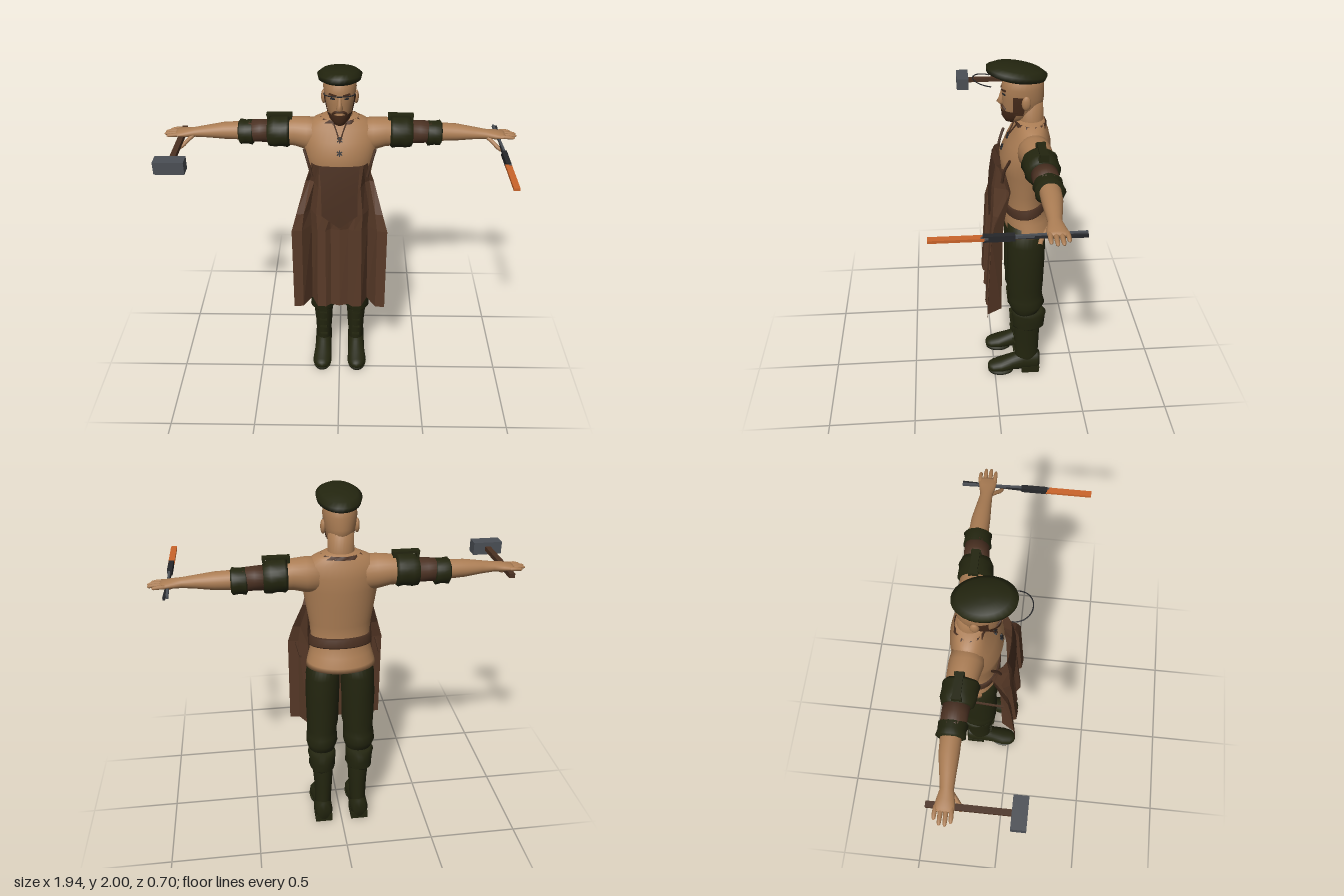
import * as THREE from 'three';

const mat = (name, color, side = THREE.FrontSide, flatShading = false) => {
  const m = new THREE.MeshStandardMaterial({ color, side, flatShading });
  m.name = name;
  return m;
};
const skin = mat('skin', 0xab7d54);
const olive = mat('dark olive cloth', 0x23250f, THREE.DoubleSide);
const leather = mat('apron leather', 0x573927, THREE.DoubleSide, true);
const brown = mat('dark leather', 0x4b3122, THREE.DoubleSide);
const hair = mat('hair', 0x482c1b, THREE.DoubleSide);
const steel = mat('steel', 0x4b4f55);
const iron = mat('dark iron', 0x26272a);
const hot = mat('hot metal', 0xcb652b);

function add(parent, name, geometry, material, pos = [0, 0, 0], rot = [0, 0, 0]) {
  const m = new THREE.Mesh(geometry, material);
  m.name = name;
  m.position.set(...pos);
  m.rotation.set(...rot);
  parent.add(m);
  return m;
}
const box = (x, y, z) => new THREE.BoxGeometry(x, y, z);
const tube = (pts, r, n = 8) => new THREE.TubeGeometry(
  new THREE.CatmullRomCurve3(pts.map(p => new THREE.Vector3(...p))), 12, r, n);

// Skin over elliptical sections [t, centreA, centreB, radiusA, radiusB] along axis y, x or z.
// (A,B) is (x,z) for y, (y,z) for x, (x,y) for z. t must rise from section to section.
function loft(sections, { axis = 'y', n = 28, from = 0, to = Math.PI * 2, wave = 0, k = 7, cap = true } = {}) {
  const full = to - from > 6.28, cols = full ? n : n + 1, pos = [], idx = [];
  const put = (X, Y, Z) => axis === 'y' ? pos.push(X, Y, Z) : axis === 'x' ? pos.push(Y, Z, X) : pos.push(Z, X, Y);
  sections.forEach(([t, a, b, ra, rb], i) => {
    const [cX, cZ, rX, rZ] = axis === 'y' ? [a, b, ra, rb] : [b, a, rb, ra];
    for (let j = 0; j < cols; j++) {
      const th = from + (to - from) * j / n, w = 1 + wave * Math.sin(k * th + i * 1.9);
      put(cX + rX * w * Math.sin(th), t, cZ + rZ * w * Math.cos(th));
    }
    if (i === 0) return;
    for (let j = 0; j < n; j++) {
      const p = (i - 1) * cols + j, q = (i - 1) * cols + (j + 1) % cols;
      idx.push(p, q, q + cols, p, q + cols, p + cols);
    }
  });
  if (full && cap) [0, sections.length - 1].forEach((s, end) => {
    const [t, a, b] = sections[s], c = pos.length / 3;
    axis === 'y' ? put(a, t, b) : put(b, t, a);
    for (let j = 0; j < n; j++) {
      const p = s * cols + j, q = s * cols + (j + 1) % cols;
      end ? idx.push(p, q, c) : idx.push(q, p, c);
    }
  });
  const g = new THREE.BufferGeometry();
  g.setAttribute('position', new THREE.Float32BufferAttribute(pos, 3));
  g.setIndex(idx);
  g.computeVertexNormals();
  return g;
}

// Mirrored sheet from rows of half sections {y, p: [[x, z], ...]}
function sheet(rows) {
  const pos = [], idx = [], w = rows[0].p.length * 2 - 1;
  rows.forEach(({ y, p }, i) => {
    const line = [...p.slice(1).reverse().map(([x, z]) => [-x, z]), ...p];
    line.forEach(([x, z]) => pos.push(x, y, z));
    if (i) for (let j = 0; j < w - 1; j++) {
      const a = (i - 1) * w + j;
      idx.push(a, a + 1, a + w + 1, a, a + w + 1, a + w);
    }
  });
  const g = new THREE.BufferGeometry();
  g.setAttribute('position', new THREE.Float32BufferAttribute(pos, 3));
  g.setIndex(idx);
  g.computeVertexNormals();
  return g;
}

function buildHead(g) {
  add(g, 'neck', loft([[1.62, 0, -.195, .085, .075], [1.7, 0, -.195, .068, .068], [1.8, 0, -.185, .066, .07]]), skin);
  add(g, 'head', loft([[1.695, 0, -.115, .03, .045], [1.72, 0, -.125, .052, .075], [1.77, 0, -.15, .07, .104],
    [1.82, 0, -.15, .08, .109], [1.88, 0, -.149, .088, .109], [1.93, 0, -.152, .08, .098], [1.955, 0, -.155, .05, .06]]), skin);
  // Face
  add(g, 'nose', loft([[1.782, 0, -.045, .012, .012], [1.797, 0, -.04, .019, .025], [1.82, 0, -.043, .012, .016],
    [1.86, 0, -.05, .009, .012]], { n: 10 }), skin);
  add(g, 'beard', loft([[1.69, 0, -.11, .03, .048], [1.72, 0, -.12, .056, .077], [1.758, 0, -.145, .071, .106]],
    { from: -1.35, to: 1.35 }), hair);
  add(g, 'moustache', tube([[-.036, 1.76, -.06], [-.022, 1.774, -.047], [0, 1.779, -.043], [.022, 1.774, -.047], [.036, 1.76, -.06]], .007), hair);
  add(g, 'lips', box(.03, .008, .008), skin, [0, 1.764, -.041]);
  for (const s of [-1, 1]) {
    add(g, 'sideburn', loft([[1.74, 0, -.145, .067, .1], [1.77, 0, -.15, .074, .108], [1.82, 0, -.15, .084, .112], [1.845, 0, -.15, .086, .112]],
      { n: 6, from: s > 0 ? 1.05 : -1.6, to: s > 0 ? 1.6 : -1.05 }), hair);
    add(g, 'eyebrow', box(.04, .009, .008), hair, [s * .036, 1.869, -.049], [0, s * .35, s * .12]);
    add(g, 'eye', box(.024, .008, .006), iron, [s * .036, 1.848, -.05], [0, s * .35, 0]);
    const ear = add(g, 'ear', new THREE.SphereGeometry(1, 12, 8), skin, [s * .086, 1.815, -.16]);
    ear.scale.set(.014, .038, .024);
  }
  // Cap
  add(g, 'beret', loft([[-.032, 0, 0, .085, .115], [-.018, 0, 0, .11, .152], [.008, 0, 0, .116, .158],
    [.026, 0, 0, .092, .125], [.037, 0, 0, .045, .06]]), olive, [0, 1.953, -.117], [-.16, 0, 0]);
  add(g, 'wireVisor', new THREE.TorusGeometry(.078, .003, 5, 28, Math.PI * 1.1), iron, [0, 1.91, .028], [Math.PI / 2 - .2, 0, -.15]);
}

function buildTorso(g) {
  add(g, 'shirt', loft([[1.055, 0, -.2, .19, .135], [1.08, 0, -.195, .184, .134], [1.13, 0, -.185, .17, .125], [1.2, 0, -.172, .156, .105],
    [1.3, 0, -.17, .165, .112], [1.42, 0, -.168, .185, .127], [1.5, 0, -.165, .198, .133], [1.58, 0, -.185, .21, .117],
    [1.64, 0, -.193, .195, .094], [1.675, 0, -.195, .14, .077], [1.7, 0, -.195, .075, .07]], { n: 36 }), skin);
  add(g, 'belt', loft([[-.028, 0, 0, .168, .115], [-.02, 0, 0, .173, .121], [.02, 0, 0, .168, .119], [.028, 0, 0, .16, .112]]),
    brown, [0, 1.195, -.173], [.13, 0, 0]);
  add(g, 'collarTrim', loft([[1.672, 0, -.195, .125, .082], [1.682, 0, -.195, .115, .079], [1.69, 0, -.195, .1, .076]], { wave: .04, k: 16, cap: false }), brown);
  // Neck slit with lacing
  for (const s of [-1, 1]) add(g, 'neckSlit', tube([[s * .035, 1.682, -.118], [s * .018, 1.64, -.096], [0, 1.59, -.066]], .004, 5), brown);
  for (const y of [1.6, 1.535]) for (const a of [.6, -.6, Math.PI / 2])
    add(g, 'lace', box(.034, .006, .008), iron, [0, y, y > 1.57 ? -.074 : -.044], [-.35, 0, a]);
}

function buildApron(g) {
  add(g, 'apron', sheet([
    { y: .55, p: [[0, .045], [.05, .03], [.08, .055], [.13, .05], [.165, -.035], [.215, .05], [.27, .057]] },
    { y: 1.08, p: [[0, .015], [.05, .003], [.08, .025], [.125, .02], [.16, -.04], [.212, .025], [.27, .032]] },
    { y: 1.18, p: [[0, .02], [.05, .018], [.09, .02], [.13, .012], [.165, -.05], [.2, .005], [.242, .012]] },
    { y: 1.35, p: [[0, .022], [.04, .02], [.08, .016], [.115, .005], [.14, -.06], [.165, -.08], [.19, -.07]] },
    { y: 1.48, p: [[0, .004], [.04, .003], [.08, 0], [.11, -.008], [.13, -.018], [.142, -.03], [.152, -.045]] }]), leather);
  add(g, 'bibPanel', sheet([
    { y: 1.1, p: [[0, .026], [.005, .026]] }, { y: 1.18, p: [[0, .027], [.1, .025]] },
    { y: 1.35, p: [[0, .028], [.1, .018]] }, { y: 1.482, p: [[0, .01], [.11, -.002]] }]), brown);
  for (const s of [-1, 1]) {
    add(g, 'apronStrap', tube([[s * .15, 1.4, -.035], [s * .17, 1.48, -.045], [s * .192, 1.55, -.07]], .008, 5), brown);
    add(g, 'apronTie', box(.01, .012, .16), brown, [s * .222, 1.09, -.095], [0, s * .06, 0]);
  }
}

function buildArm(g) {
  add(g, 'arm', loft([[.08, 1.575, -.195, .09, .08], [.18, 1.58, -.2, .092, .088], [.25, 1.588, -.208, .08, .08], [.32, 1.585, -.212, .073, .075],
    [.42, 1.582, -.22, .058, .06], [.56, 1.58, -.226, .05, .052], [.64, 1.58, -.224, .046, .05], [.73, 1.578, -.218, .034, .04],
    [.8, 1.575, -.213, .026, .033], [.85, 1.573, -.213, .022, .044], [.89, 1.572, -.215, .016, .05], [.905, 1.572, -.215, .01, .045]], { axis: 'x' }), skin);
  [[-.257, .945], [-.23, .968], [-.203, .97], [-.177, .955]].forEach(([z, x]) => add(g, 'finger',
    loft([[.88, 1.573, -.215 + (z + .215) * .9, .011, .013], [x - .03, 1.572, z, .01, .011], [x - .008, 1.569, z, .008, .009], [x, 1.568, z, .003, .004]],
      { axis: 'x', n: 10 }), skin));
  add(g, 'thumb', tube([[.81, 1.565, -.19], [.84, 1.545, -.165], [.865, 1.525, -.145], [.885, 1.515, -.138]], .011), skin);
  // Sleeve bands
  add(g, 'upperCuff', loft([[.275, 1.588, -.21, .078, .084], [.29, 1.587, -.21, .086, .094], [.325, 1.585, -.212, .08, .088], [.36, 1.583, -.214, .086, .09],
    [.395, 1.58, -.216, .076, .078], [.4, 1.58, -.216, .06, .062]], { axis: 'x', wave: .03 }), olive);
  add(g, 'sleeve', loft([[.38, 1.582, -.218, .064, .068], [.44, 1.582, -.222, .061, .066], [.5, 1.58, -.225, .06, .064]], { axis: 'x' }), brown);
  add(g, 'lowerCuff', loft([[.478, 1.575, -.224, .06, .064], [.486, 1.573, -.225, .069, .074], [.52, 1.573, -.226, .064, .068], [.55, 1.573, -.227, .069, .074],
    [.56, 1.574, -.227, .055, .058]], { axis: 'x', wave: .03 }), olive);
  add(g, 'sleeveStrap', box(.14, .012, .04), olive, [.33, 1.684, -.215]);
  for (const x of [.268, .39]) add(g, 'strapPost', box(.014, .04, .05), olive, [x, 1.668, -.215]);
}

function buildLeg(g) {
  add(g, 'trouserLeg', loft([[.47, .105, -.185, .065, .07], [.51, .108, -.185, .082, .085], [.55, .108, -.188, .09, .108], [.59, .106, -.182, .087, .102],
    [.63, .104, -.18, .084, .1], [.68, .102, -.178, .09, .106], [.85, .1, -.178, .093, .107], [.98, .095, -.178, .094, .108],
    [1.1, .085, -.175, .085, .1]], { wave: .018, k: 5 }), olive);
  add(g, 'bootShaft', loft([[.06, .107, -.205, .05, .073], [.13, .105, -.2, .047, .072], [.25, .103, -.198, .053, .076], [.36, .105, -.195, .06, .08],
    [.45, .105, -.19, .064, .078]]), olive);
  add(g, 'bootCuff', loft([[.375, .108, -.202, .07, .092], [.385, .108, -.203, .077, .1], [.43, .108, -.203, .074, .1], [.475, .109, -.203, .08, .103],
    [.495, .109, -.195, .07, .09]], { wave: .035, k: 5 }), olive);
  add(g, 'bootFoot', loft([[-.282, .107, .075, .035, .06], [-.265, .107, .075, .052, .07], [-.18, .107, .075, .052, .072], [-.11, .108, .06, .052, .055],
    [-.04, .111, .043, .058, .041], [.01, .112, .036, .05, .032], [.035, .112, .034, .032, .024], [.043, .112, .034, .01, .01]], { axis: 'z' }), olive);
  add(g, 'heel', box(.1, .045, .11), olive, [.107, .0225, -.225]);
  add(g, 'sole', loft([[0, .112, -.04, .056, .08], [.02, .112, -.04, .06, .083]]), olive);
  add(g, 'kneeFlap', box(.05, .1, .014), olive, [.108, .43, -.1], [.1, 0, 0]);
  for (const y of [.17, .23, .29, .35]) add(g, 'bootLace', box(.045, .012, .014), olive, [.104, y, -.122]);
}

export function createModel() {
  const model = new THREE.Group();
  model.name = 'craftsman';
  const group = (name, build, mirror) => {
    const g = new THREE.Group();
    g.name = name;
    build(g);
    if (mirror) g.scale.x = -1;
    model.add(g);
  };
  group('headGroup', buildHead);
  group('torso', buildTorso);
  group('apronGroup', buildApron);
  group('leftArm', buildArm);
  group('rightArm', buildArm, true);
  group('leftLeg', buildLeg);
  group('rightLeg', buildLeg, true);
  // Hammer in the right hand
  group('hammer', g => {
    add(g, 'hammerHead', box(.16, .07, .074), steel, [-.875, 1.555, .133]);
    add(g, 'hammerHandle', box(.03, .024, .41), brown, [-.875, 1.555, -.1]);
  });
  // Tongs holding a hot bar in the left hand
  group('tongs', g => {
    for (const s of [-1, 1]) add(g, 'tongArm', box(.012, .014, .47), s > 0 ? steel : iron, [.873, 1.555 + s * .003, -.115], [0, s * .035, 0]);
    add(g, 'tongJaw', box(.026, .03, .14), iron, [.873, 1.555, .04]);
    add(g, 'hotBar', box(.032, .014, .245), hot, [.873, 1.555, .226]);
  });
  return model;
}
